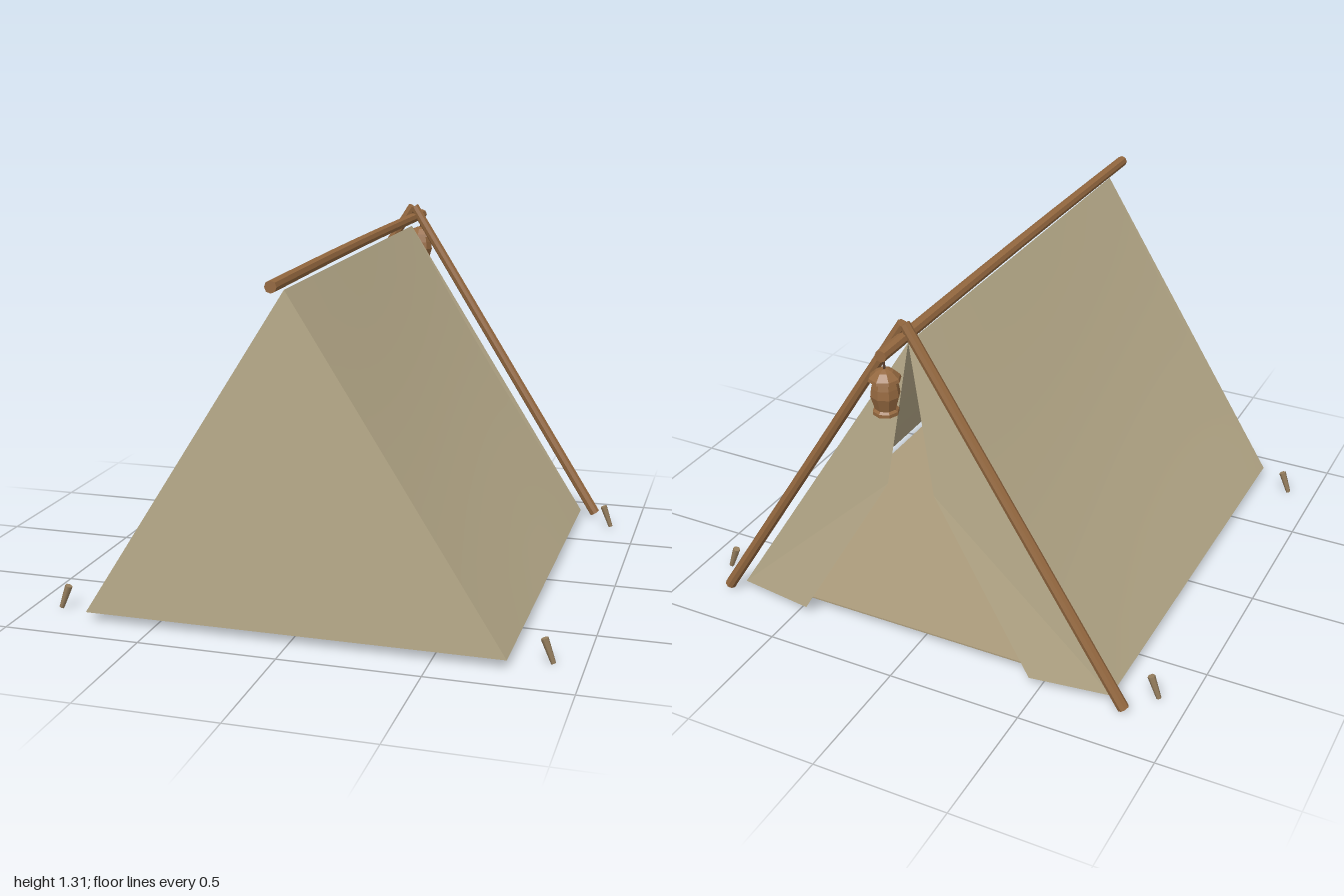
import * as THREE from 'three';

const mat = (name, color, side = THREE.FrontSide) => {
  const m = new THREE.MeshStandardMaterial({ color, side });
  m.name = name;
  return m;
};

export function createModel() {
  const root = new THREE.Group();
  root.name = 'tent';
  const canvas = mat('canvas', 0xb8ab8a, THREE.DoubleSide);
  const floorCloth = mat('floorCloth', 0xad9d7d);
  const wood = mat('wood', 0x94683f);
  wood.flatShading = true;
  const stakeWood = mat('stakeWood', 0x98805f);
  const strapLeather = mat('strapLeather', 0x5a4030);

  const add = (name, geo, material, parent = root) => {
    const m = new THREE.Mesh(geo, material);
    m.name = name;
    parent.add(m);
    return m;
  };
  // Faceted rod between two points
  const rod = (name, a, b, r0, r1, sides, material, parent = root) => {
    const p = new THREE.Vector3(...a), q = new THREE.Vector3(...b);
    const d = q.clone().sub(p);
    const m = add(name, new THREE.CylinderGeometry(r1, r0, d.length(), sides), material, parent);
    m.position.copy(p).add(q).multiplyScalar(0.5);
    m.quaternion.setFromUnitVectors(new THREE.Vector3(0, 1, 0), d.normalize());
    return m;
  };
  const facets = (pts, faces) => {
    const g = new THREE.BufferGeometry();
    g.setAttribute('position', new THREE.Float32BufferAttribute(faces.flatMap((i) => pts[i]), 3));
    g.computeVertexNormals();
    return g;
  };

  const W = 0.755, top = 1.225, base = 0.035, zF = 0.87, zB = -0.79;

  for (const s of [1, -1]) {
    const side = s > 0 ? 'left' : 'right';

    // Sloping cloth, sagging gently between ridge and hem
    const g = new THREE.PlaneGeometry(1, 1, 16, 10);
    const p = g.attributes.position;
    const nx = (top - base) / Math.hypot(W, top - base), ny = W / Math.hypot(W, top - base);
    for (let i = 0; i < p.count; i++) {
      const u = p.getX(i) + 0.5, v = p.getY(i) + 0.5;
      const sag = 0.025 * Math.sin(Math.PI * v) * (0.7 + 0.3 * Math.sin(Math.PI * u));
      p.setXYZ(i, s * (W * (1 - v) - nx * sag), base + (top - base) * v - ny * sag,
        s > 0 ? zF + (zB - zF) * u : zB + (zF - zB) * u);
    }
    g.computeVertexNormals();
    add(side + 'Wall', g, canvas);

    // Door flap drawn part way open
    const flap = [[0, top, zB], [s * W, base, zB], [s * 0.46, base, zB - 0.04], [s * 0.09, 0.67, zB - 0.02]];
    add(side + 'DoorFlap', facets(flap, s > 0 ? [0, 1, 3, 3, 1, 2] : [0, 3, 1, 3, 2, 1]), canvas);

    // Leaning pole beside the door
    rod(side + 'Pole', [s * 0.812, 0.02, -0.815], [s * 0.003, 1.305, -0.815], 0.021, 0.019, 8, wood);

    // Ground stakes
    for (const z of [0.78, -0.695])
      rod(side + 'Stake', [s * 0.895, 0.005, z], [s * 0.863, 0.09, z], 0.009, 0.014, 6, stakeWood);
  }

  // Closed end wall
  add('endWall', facets([[-W, base, zF], [W, base, zF], [0, top, zF]], [0, 1, 2]), canvas);

  // Floor cloth
  const floor = add('floor', new THREE.BoxGeometry(1.45, 0.006, 1.62), floorCloth);
  floor.position.set(0, 0.038, 0.04);

  // Ridge pole with a slight bow
  const ridge = new THREE.CylinderGeometry(0.021, 0.021, 1.965, 8, 6);
  ridge.rotateX(Math.PI / 2);
  const rp = ridge.attributes.position;
  for (let i = 0; i < rp.count; i++)
    rp.setY(i, rp.getY(i) + 0.006 * Math.cos((rp.getZ(i) / 0.98) * Math.PI / 2));
  ridge.computeVertexNormals();
  add('ridgePole', ridge, wood).position.set(0, 1.255, 0.0175);

  // Rolled bedding with two straps
  const roll = new THREE.Group();
  roll.name = 'bedroll';
  roll.position.set(0, 0.142, 0.18);
  root.add(roll);
  const tube = (name, r, len, x, m) => {
    const g = new THREE.CylinderGeometry(r, r, len, 10);
    g.rotateY(Math.PI / 10);
    g.rotateZ(Math.PI / 2);
    add(name, g, m, roll).position.x = x;
  };
  tube('beddingRoll', 0.113, 0.64, 0, floorCloth);
  for (const x of [-0.19, 0.19]) tube('strap', 0.118, 0.03, x, strapLeather);

  // Lantern hung from the end of the ridge pole
  const lantern = new THREE.Group();
  lantern.name = 'lantern';
  lantern.position.set(0, 0, -0.945);
  root.add(lantern);
  const lathe = (name, pts) => add(name,
    new THREE.LatheGeometry(pts.map(([x, y]) => new THREE.Vector2(x, y)), 8), wood, lantern);
  lathe('lanternBody', [[0, 1.043], [0.044, 1.043], [0.044, 1.055], [0.036, 1.062], [0.05, 1.11],
    [0.046, 1.14], [0.038, 1.168], [0, 1.168]]);
  lathe('lanternCap', [[0, 1.165], [0.055, 1.165], [0.052, 1.175], [0.03, 1.196], [0.012, 1.203], [0, 1.203]]);
  rod('lanternHook', [0, 1.2, 0], [0, 1.245, 0], 0.004, 0.004, 6, strapLeather, lantern);

  return root;
}
